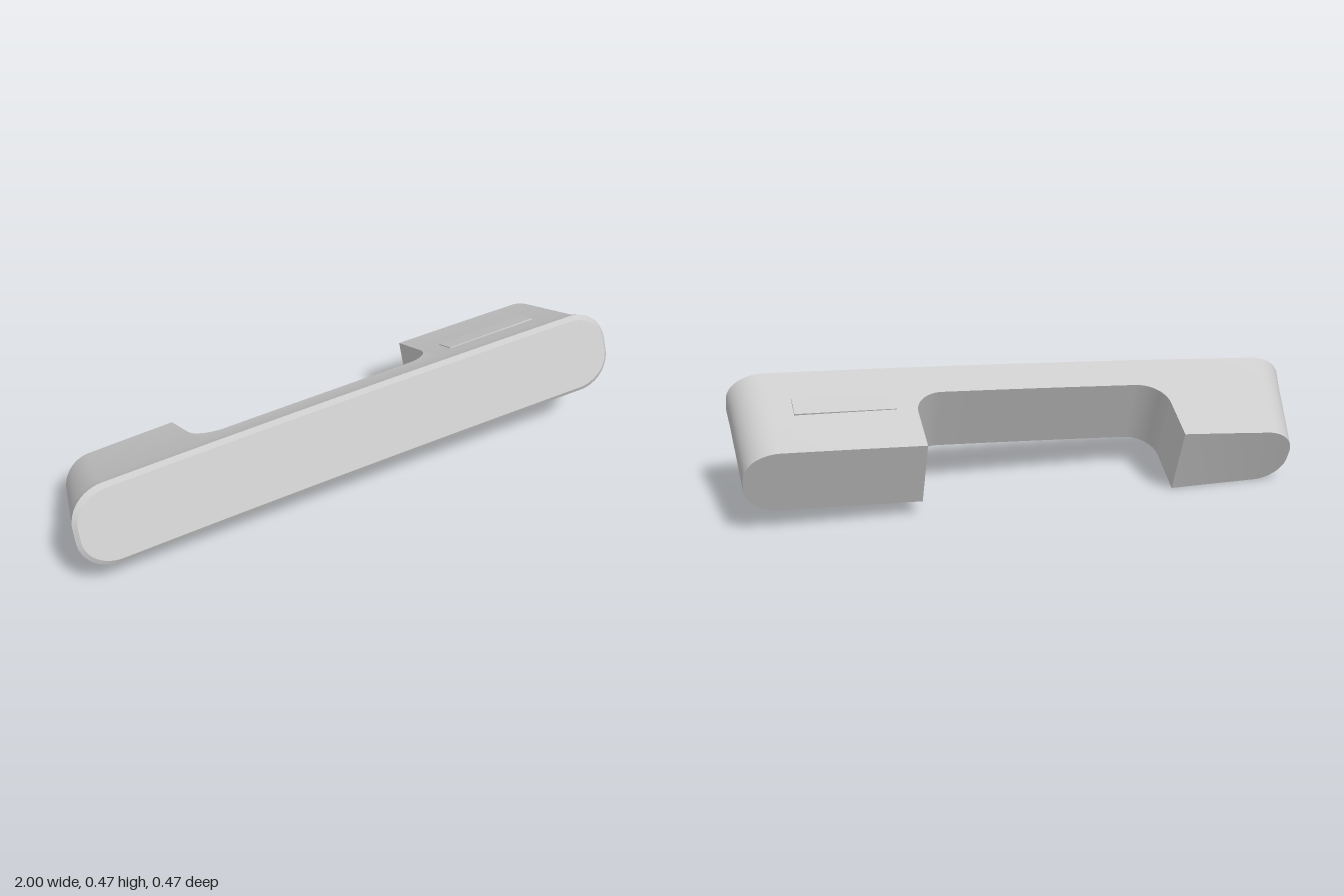
import * as THREE from 'three';
import { toCreasedNormals } from 'three/addons/utils/BufferGeometryUtils.js';

const lerp = THREE.MathUtils.lerp;

// Side profile from front to back: lower and upper edge as [z, y], and how far
// each row draws in at the left (+x) and right (-x) end.
const rows = [
  { low: [0.232, 0.194], high: [0.133, 0.414], inPlus: 0.014, inMinus: 0.014 }, // face
  { low: [0.226, 0.177], high: [0.112, 0.422], inPlus: 0, inMinus: 0 },         // rim
  { low: [0.170, 0.150], high: [0.052, 0.387], inPlus: 0.004, inMinus: 0.015 }, // shoulder
  { low: [-0.120, 0.022], high: [-0.234, 0.267], inPlus: 0.012, inMinus: 0.09 }, // back
];

// Point on one row at station t along the length; s runs from lower to upper edge.
function rowPoint(row, t, s) {
  const k = Math.max(0, (Math.abs(t) - 0.5) / 0.5);
  const x = t > 0 ? t - row.inPlus * k : t + row.inMinus * k;
  let y = lerp(row.low[1], row.high[1], s) + 0.055 * t + 0.008 * (1 - t * t);
  // the foot of the right leg runs level
  if (row === rows[3] && t < -0.5) y += 0.065 * (-0.5 - t) * (1 - s);
  return new THREE.Vector3(x, y, lerp(row.low[0], row.high[0], s));
}

// Eight-sided cross-section; depth 1 reaches the back of the legs.
function section({ t, depth }) {
  const r = 0.125;
  const q = Math.max(0, (Math.abs(t) - (1 - r)) / r);
  const s0 = 0.42 * (1 - Math.sqrt(Math.max(0, 1 - q * q)));
  const edge = (s) => {
    const p = rows.map((row) => rowPoint(row, t, s));
    p[3] = p[2].clone().lerp(p[3], depth);
    return p;
  };
  return [...edge(s0), ...edge(1 - s0).reverse()];
}

// Stations along the length, with the filleted grip recess in the middle.
function makeStations() {
  const list = [];
  const add = (t, depth) => list.push({ t, depth });
  const N = 12, bar = 0.17, fillet = 0.31, r = 0.1;
  for (let i = 0; i <= N; i++) add(-1 + 0.125 * (1 - Math.cos((i / N) * Math.PI / 2)) , 1);
  for (const t of [-0.75, -0.62, -0.5]) add(t, 1);
  for (let i = 0; i <= N; i++) {
    const a = (i / N) * Math.PI / 2;
    add(-0.5 + r * (1 - Math.cos(a)), bar + fillet * (1 - Math.sin(a)));
  }
  for (let i = 1; i < 8; i++) add(lerp(-0.4, 0.29, i / 8), bar);
  for (let i = N; i >= 0; i--) {
    const a = (i / N) * Math.PI / 2;
    add(0.39 - r * (1 - Math.cos(a)), bar + fillet * (1 - Math.sin(a)));
  }
  for (const t of [0.39, 0.5, 0.62, 0.75]) add(t, 1);
  for (let i = N; i >= 0; i--) add(1 - 0.125 * (1 - Math.cos((i / N) * Math.PI / 2)), 1);
  return list;
}

function handleGeometry() {
  const loops = makeStations().map(section);
  const pos = [];
  const tri = (a, b, c) => pos.push(...a.toArray(), ...b.toArray(), ...c.toArray());
  const quad = (a, b, c, d) => { tri(a, b, c); tri(a, c, d); };
  for (let i = 0; i < loops.length - 1; i++) {
    const A = loops[i], B = loops[i + 1];
    for (let j = 0; j < 8; j++) {
      const n = (j + 1) % 8;
      quad(A[j], A[n], B[n], B[j]);
    }
  }
  // flat middle of both ends
  const first = loops[0], last = loops[loops.length - 1];
  for (let j = 0; j < 3; j++) {
    quad(last[j], last[j + 1], last[6 - j], last[7 - j]);
    quad(first[7 - j], first[6 - j], first[j + 1], first[j]);
  }
  const g = new THREE.BufferGeometry();
  g.setAttribute('position', new THREE.Float32BufferAttribute(pos, 3));
  return toCreasedNormals(g, 0.5);
}

export function createModel() {
  const group = new THREE.Group();
  const material = new THREE.MeshStandardMaterial({ color: 0xcccccc });

  const handle = new THREE.Mesh(handleGeometry(), material);
  handle.name = 'handleBody';
  group.add(handle);

  // thin inlay plate on the upper side of the left leg
  const plate = new THREE.Mesh(new THREE.BoxGeometry(0.34, 0.012, 0.075), material);
  plate.name = 'inlayPlate';
  plate.position.set(0.63, 0.388, -0.035);
  plate.rotation.set(-0.39, 0, 0.05);
  group.add(plate);

  return group;
}
